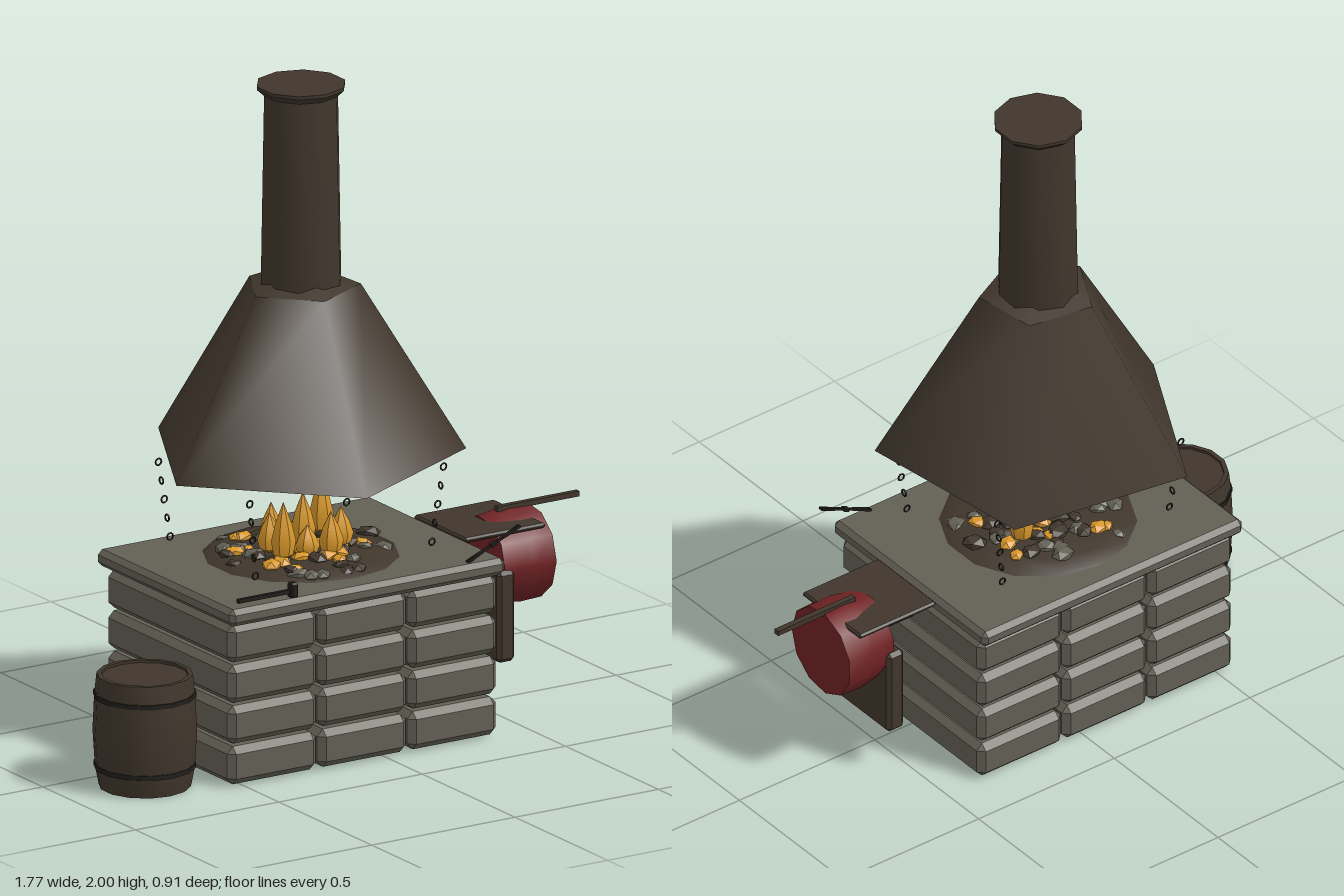
import * as THREE from 'three';
import { toCreasedNormals } from 'three/addons/utils/BufferGeometryUtils.js';
import { ConvexGeometry } from 'three/addons/geometries/ConvexGeometry.js';

const mat = (name, color) => Object.assign(new THREE.MeshStandardMaterial({ color }), { name });

export function createModel() {
  const stone = mat('stone', 0x625f54);
  const wood = mat('darkWood', 0x40362c);
  const iron = mat('iron', 0x211e1b);
  const red = mat('redLeather', 0x702224);
  const flame = mat('flame', 0xd8982a);

  const model = new THREE.Group();
  model.name = 'forge';
  const CX = -0.083, CZ = -0.025;

  let seed = 7;
  const rand = (a, b) => {
    seed = (seed * 16807) % 2147483647;
    return a + (b - a) * (seed / 2147483647);
  };
  const add = (name, geo, material, x = 0, y = 0, z = 0, parent = model) => {
    const m = new THREE.Mesh(geo, material);
    m.name = name;
    m.position.set(x, y, z);
    parent.add(m);
    return m;
  };
  const group = (name) => {
    const g = new THREE.Group();
    g.name = name;
    model.add(g);
    return g;
  };
  // Box with every edge and corner cut off
  const chamferBox = (w, h, d, c) => {
    const pts = [];
    for (const sx of [-1, 1]) for (const sy of [-1, 1]) for (const sz of [-1, 1])
      for (let a = 0; a < 3; a++) {
        const inset = [c, c, c];
        inset[a] = 0;
        pts.push(new THREE.Vector3(sx * (w / 2 - inset[0]), sy * (h / 2 - inset[1]), sz * (d / 2 - inset[2])));
      }
    return new ConvexGeometry(pts);
  };
  // Turned solid from [radius, height] pairs, bottom to top
  const turned = (profile, sides, crease = 0.75) => toCreasedNormals(
    new THREE.LatheGeometry(profile.map(([r, y]) => new THREE.Vector2(r, y)), sides), crease);

  // Stone base: three columns of four full-depth blocks
  const base = group('stoneBase');
  const block = chamferBox(0.309, 0.116, 0.68, 0.02);
  for (let col = 0; col < 3; col++)
    for (let row = 0; row < 4; row++)
      add('stoneBlock', block, stone, CX + (col - 1) * 0.314, 0.068 + row * 0.1247, -0.02, base);
  add('topSlab', chamferBox(0.96, 0.052, 0.735, 0.015), stone, CX, 0.53, CZ, base);

  // Hearth: low coal bed, loose coals and embers
  const hearth = group('hearth');
  add('coalBed', turned([[0.3, 0.55], [0.28, 0.563], [0.235, 0.578], [0, 0.575]], 14), wood, CX, 0, CZ, hearth);
  const lump = toCreasedNormals(new THREE.IcosahedronGeometry(1, 0), 0.1);
  const scatter = (name, material, count, r0, r1, size) => {
    for (let i = 0; i < count; i++) {
      const a = i * 2.4 + rand(0, 0.6), r = rand(r0, r1), s = size * rand(0.75, 1.25);
      const m = add(name, lump, material, CX + r * Math.sin(a), r > 0.24 ? 0.567 : 0.58, CZ + r * Math.cos(a), hearth);
      m.scale.set(s * 1.25, s * 0.65, s);
      m.rotation.y = rand(0, 6);
    }
  };
  scatter('coal', wood, 26, 0.05, 0.26, 0.027);
  scatter('ash', stone, 22, 0.12, 0.26, 0.026);
  scatter('ember', flame, 24, 0.03, 0.23, 0.026);

  // Flames: tapered teardrops, [x, z, tip height]
  const fire = group('fire');
  const tongue = turned([[0, 0], [0.03, 0.02], [0.038, 0.06], [0.025, 0.11], [0, 0.17]], 7);
  for (const [x, z, top] of [[-0.2, 0.06, 0.757], [-0.165, -0.06, 0.72], [-0.08, -0.02, 0.748],
    [-0.05, 0.085, 0.71], [0.035, -0.1, 0.757], [-0.19, -0.03, 0.7], [0.02, 0.03, 0.7], [-0.11, 0.05, 0.67]]) {
    const f = add('flameTongue', tongue, flame, x, 0.575, z, fire);
    f.scale.y = (top - 0.575) / 0.17;
  }

  // Five-sided smoke hood with round chimney
  const chimney = group('chimney');
  add('smokeHood', new THREE.CylinderGeometry(0.176, 0.486, 0.515, 5, 1, false, -0.167), wood, CX, 1.1225, CZ, chimney);
  add('hoodShoulder', new THREE.CylinderGeometry(0.118, 0.176, 0.025, 5, 1, false, -0.167), wood, CX, 1.3925, CZ, chimney);
  add('chimneyPipe', turned([[0.122, 1.39], [0.112, 1.97], [0.134, 1.99], [0.134, 2], [0, 2]], 10),
    wood, CX, 0, CZ, chimney);

  // Chains hanging between hood and slab, links turned alternately
  const ring = new THREE.TorusGeometry(0.0105, 0.0028, 5, 10);
  for (const side of [-1, 1]) for (const end of [-1, 1]) {
    const chain = group('chain');
    for (let i = 0; i < 5; i++) {
      const link = add('chainLink', ring, iron, CX + side * (0.308 + i * 0.0075), 0.6 + i * 0.0575,
        CZ + end * (0.23 + i * 0.004), chain);
      link.rotation.y = i % 2 ? Math.PI / 2 : 0;
    }
  }

  // Bellows: red drum, support boards, nozzle and handle
  const bellows = group('bellows');
  const drum = add('bellowsDrum', turned(
    [[0, 0.545], [0.13, 0.545], [0.138, 0.6], [0.145, 0.64], [0.142, 0.717], [0, 0.717]], 11),
    red, 0, 0.432, CZ, bellows);
  drum.rotation.z = -Math.PI / 2;
  add('topBoard', chamferBox(0.282, 0.016, 0.28, 0.006), wood, 0.543, 0.546, CZ - 0.004, bellows);
  add('supportBoard', chamferBox(0.062, 0.28, 0.283, 0.012), wood, 0.546, 0.29, CZ, bellows);
  const nozzle = add('nozzle', new THREE.CylinderGeometry(0.016, 0.016, 0.1, 8), wood, 0.42, 0.432, CZ, bellows);
  nozzle.rotation.z = Math.PI / 2;
  add('handle', new THREE.BoxGeometry(0.285, 0.016, 0.018), wood, 0.743, 0.575, CZ - 0.004, bellows);

  // Barrel with two hoops
  const barrel = group('barrel');
  add('barrelBody', turned([[0, 0.003], [0.136, 0.003], [0.147, 0.06], [0.154, 0.17], [0.149, 0.28],
    [0.142, 0.346], [0.128, 0.346], [0.128, 0.338], [0, 0.338]], 14), wood, -0.738, 0, 0.145, barrel);
  for (const [y, r] of [[0.068, 0.151], [0.285, 0.152]])
    add('barrelHoop', new THREE.CylinderGeometry(r, r, 0.014, 14), iron, -0.738, y, 0.145, barrel);

  // Hammer lying on the slab
  const hammer = group('hammer');
  add('hammerHandle', new THREE.BoxGeometry(0.2, 0.012, 0.012), iron, -0.425, 0.575, 0.317, hammer);
  add('hammerHead', chamferBox(0.026, 0.046, 0.028, 0.005), iron, -0.333, 0.578, 0.317, hammer);

  // Tongs leaning over the slab edge
  const tongs = group('tongs');
  tongs.position.set(0.368, 0.598, 0.315);
  tongs.rotation.z = Math.atan2(0.08, 0.18);
  for (const s of [-1, 1]) {
    const arm = add('tongArm', new THREE.BoxGeometry(0.2, 0.007, 0.006), iron, 0, 0, 0, tongs);
    arm.rotation.y = s * 0.05;
  }
  add('tongPivot', new THREE.BoxGeometry(0.02, 0.01, 0.018), iron, 0, 0, 0, tongs);

  return model;
}
